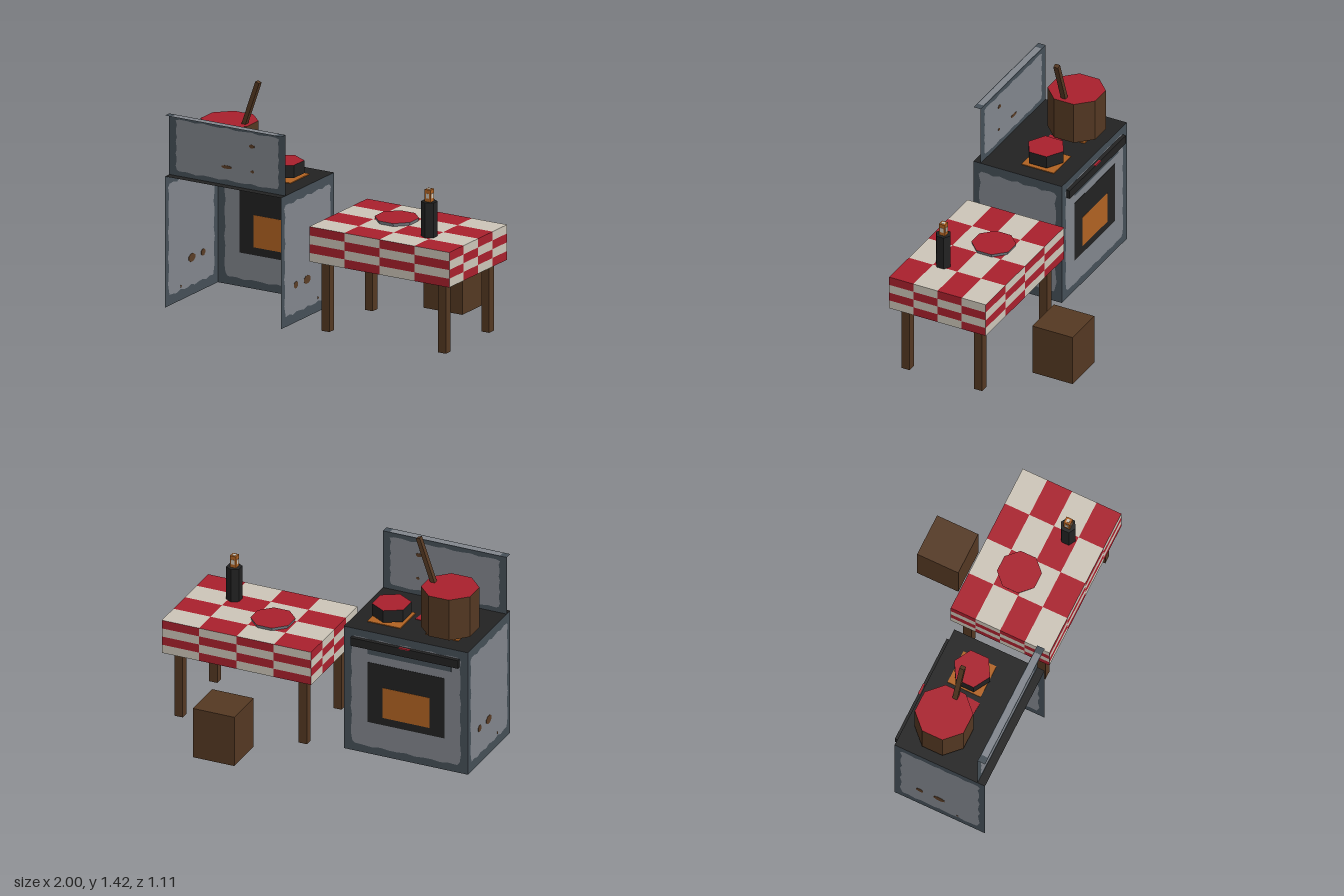
import * as THREE from 'three';

const mat = (name, color, side = THREE.FrontSide) => {
  const m = new THREE.MeshStandardMaterial({ color, side });
  m.name = name;
  return m;
};

export function createModel() {
  const root = new THREE.Group();
  const two = THREE.DoubleSide;
  const red = mat('red', 0xa9202d);
  const cream = mat('cream', 0xccc5b8);
  const wood = mat('wood', 0x543822);
  const black = mat('black', 0x222222, two);
  const steel = mat('worn steel', 0x81858c, two);
  const frame = mat('dark steel', 0x454f57, two);
  const orange = mat('orange', 0xb06222);
  const rust = mat('rust', 0x5a3d26);

  const add = (name, geo, material, parent = root) => {
    const mesh = new THREE.Mesh(geo, material);
    mesh.name = name;
    parent.add(mesh);
    return mesh;
  };
  // Box given by its extents on each axis
  const box = (name, m, x0, x1, y0, y1, z0, z1, parent = root) => {
    const mesh = add(name, new THREE.BoxGeometry(x1 - x0, y1 - y0, z1 - z0), m, parent);
    mesh.position.set((x0 + x1) / 2, (y0 + y1) / 2, (z0 + z1) / 2);
    return mesh;
  };
  // Faceted vessel standing on y0, with its own top and bottom material
  const prism = (name, side, top, r0, r1, sides, x, y0, y1, z, turn = 0) => {
    const geo = new THREE.CylinderGeometry(r1, r0, y1 - y0, sides, 1, false, turn).toNonIndexed();
    geo.computeVertexNormals();
    const mesh = add(name, geo, [side, top, side]);
    mesh.position.set(x, (y0 + y1) / 2, z);
    return mesh;
  };

  // Uneven outline of a worn patch, with cut corners
  const wornOutline = (w, h, wobble) => {
    const pts = [];
    const corners = [[-1, -1], [1, -1], [1, 1], [-1, 1]];
    const steps = 12;
    corners.forEach((a, s) => {
      const b = corners[(s + 1) % 4];
      for (let i = 0; i <= steps; i++) {
        const t = 0.035 + 0.93 * i / steps;
        const d = wobble * (0.5 + 0.5 * Math.sin(i * 2.3 + s * 1.7));
        const x = (a[0] + (b[0] - a[0]) * t) * w / 2;
        const y = (a[1] + (b[1] - a[1]) * t) * h / 2;
        pts.push(new THREE.Vector2(x - (s % 2 ? b[0] * d : 0), y - (s % 2 ? 0 : a[1] * d)));
      }
    });
    return pts;
  };

  // Sheet panel: dark rim around a worn centre, with rust spots [x, y, w, h]
  const panel = (name, w, h, mx, my, wobble, spots = []) => {
    const g = new THREE.Group();
    g.name = name;
    const outline = wornOutline(w - 2 * mx, h - 2 * my, wobble);
    const rim = new THREE.Shape([[-1, -1], [1, -1], [1, 1], [-1, 1]]
      .map(([x, y]) => new THREE.Vector2(x * w / 2, y * h / 2)));
    rim.holes.push(new THREE.Path(outline));
    add('panelRim', new THREE.ShapeGeometry(rim), frame, g);
    add('panelCentre', new THREE.ShapeGeometry(new THREE.Shape(outline)), steel, g);
    for (const [x, y, sw, sh] of spots) {
      const spot = add('rustSpot', new THREE.CylinderGeometry(0.5, 0.5, 0.004, 8, 1, false, Math.PI / 8), rust, g);
      spot.rotation.x = Math.PI / 2;
      spot.scale.set(sw, 1, sh);
      spot.position.set(x, y, 0);
    }
    root.add(g);
    return g;
  };

  // Stove body: open at the front and below
  const L = -1, R = -0.17, T = 0.835, cx = (L + R) / 2, cz = 0.245;
  for (const s of [-1, 1]) {
    const side = panel('stoveSide', 0.61, T, 0.035, 0.055, 0.015,
      [[-0.005, -0.18, 0.08, 0.055], [-0.135, -0.18, 0.05, 0.045], [0.12, -0.33, 0.015, 0.015]]);
    side.rotation.y = s * Math.PI / 2;
    side.position.set(s > 0 ? R : L, T / 2, cz);
  }
  panel('ovenFace', R - L, T, 0.045, 0.045, 0.01).position.set(cx, T / 2, -0.06);
  const top = add('stoveTop', new THREE.PlaneGeometry(R - L, 0.61), black);
  top.rotation.x = -Math.PI / 2;
  top.position.set(cx, T, cz);

  // Oven door details
  box('doorGroove', frame, -0.89, -0.33, 0.68, 0.73, -0.062, -0.058);
  box('doorFrame', black, -0.845, -0.33, 0.215, 0.625, -0.062, -0.058);
  box('ovenWindow', orange, -0.745, -0.43, 0.265, 0.47, -0.0635, -0.0565);
  box('ovenHandle', black, -0.945, -0.225, 0.725, 0.78, -0.085, -0.061);
  box('handleMark', red, -0.62, -0.55, 0.775, 0.782, -0.087, -0.074);

  // Splash panel and its lip
  panel('splashPanel', R - L, 0.388, 0.045, 0.025, 0.01,
    [[0.175, 0.08, 0.04, 0.025], [-0.005, -0.08, 0.075, 0.022], [0.18, -0.08, 0.025, 0.018]])
    .position.set(cx, 1.029, 0.5);
  const lip = panel('splashLip', R - L, 0.05, 0.045, 0.004, 0.003);
  lip.rotation.x = -Math.PI / 2;
  lip.position.set(cx, 1.223, 0.525);

  // Burners and a spill beside the pot
  for (const x of [-0.385, -0.775]) box('burner', orange, x - 0.11, x + 0.11, T, T + 0.005, 0.052, 0.275);
  const spill = box('sauceSpill', red, -0.65, -0.53, T, T + 0.004, 0.2, 0.285);
  spill.rotation.y = -0.08;

  // Cookware
  const oct = Math.PI / 8;
  prism('stewPot', wood, red, 0.178, 0.178, 8, -0.777, 0.857, 1.132, 0.165, oct);
  prism('saucePan', black, red, 0.121, 0.121, 6, -0.385, 0.857, 0.938, 0.165);
  const a = new THREE.Vector3(-0.667, 1.1, 0.185), b = new THREE.Vector3(-0.558, 1.412, 0.185);
  const spoon = add('spoonHandle', new THREE.BoxGeometry(0.028, a.distanceTo(b), 0.032), wood);
  spoon.position.copy(a).add(b).multiplyScalar(0.5);
  spoon.rotation.z = -Math.atan2(b.x - a.x, b.y - a.y);

  // Checked tablecloth: four by four cells on every face
  const cloth = new THREE.BoxGeometry(1, 0.223, 0.666, 4, 4, 4);
  cloth.clearGroups();
  for (let i = 0; i < 96; i++) {
    const col = i % 4, row = Math.floor(i / 4) % 4;
    cloth.addGroup(i * 6, 6, (col + row) % 2);
  }
  add('tablecloth', cloth, [red, cream]).position.set(0.5, 0.5565, 0.166);

  // Table legs and stool
  for (const x of [0.055, 0.887]) {
    for (const z of [-0.11, 0.389]) box('tableLeg', wood, x, x + 0.055, 0, 0.446, z, z + 0.056);
  }
  box('stool', wood, 0.333, 0.611, 0, 0.334, -0.556, -0.278);

  // Plate
  prism('plate', steel, red, 0.13, 0.137, 8, 0.384, 0.668, 0.689, 0.11, oct);

  // Bottle with a stopper
  prism('bottle', black, black, 0.05, 0.05, 6, 0.72, 0.668, 0.89, 0.276);
  box('bottleStopper', orange, 0.699, 0.741, 0.89, 0.967, 0.255, 0.297);
  box('stopperMark', cream, 0.709, 0.731, 0.912, 0.942, 0.253, 0.299);
  box('stopperMark', cream, 0.697, 0.743, 0.912, 0.942, 0.265, 0.287);
  box('stopperTop', cream, 0.71, 0.73, 0.96, 0.969, 0.266, 0.286);

  return root;
}
